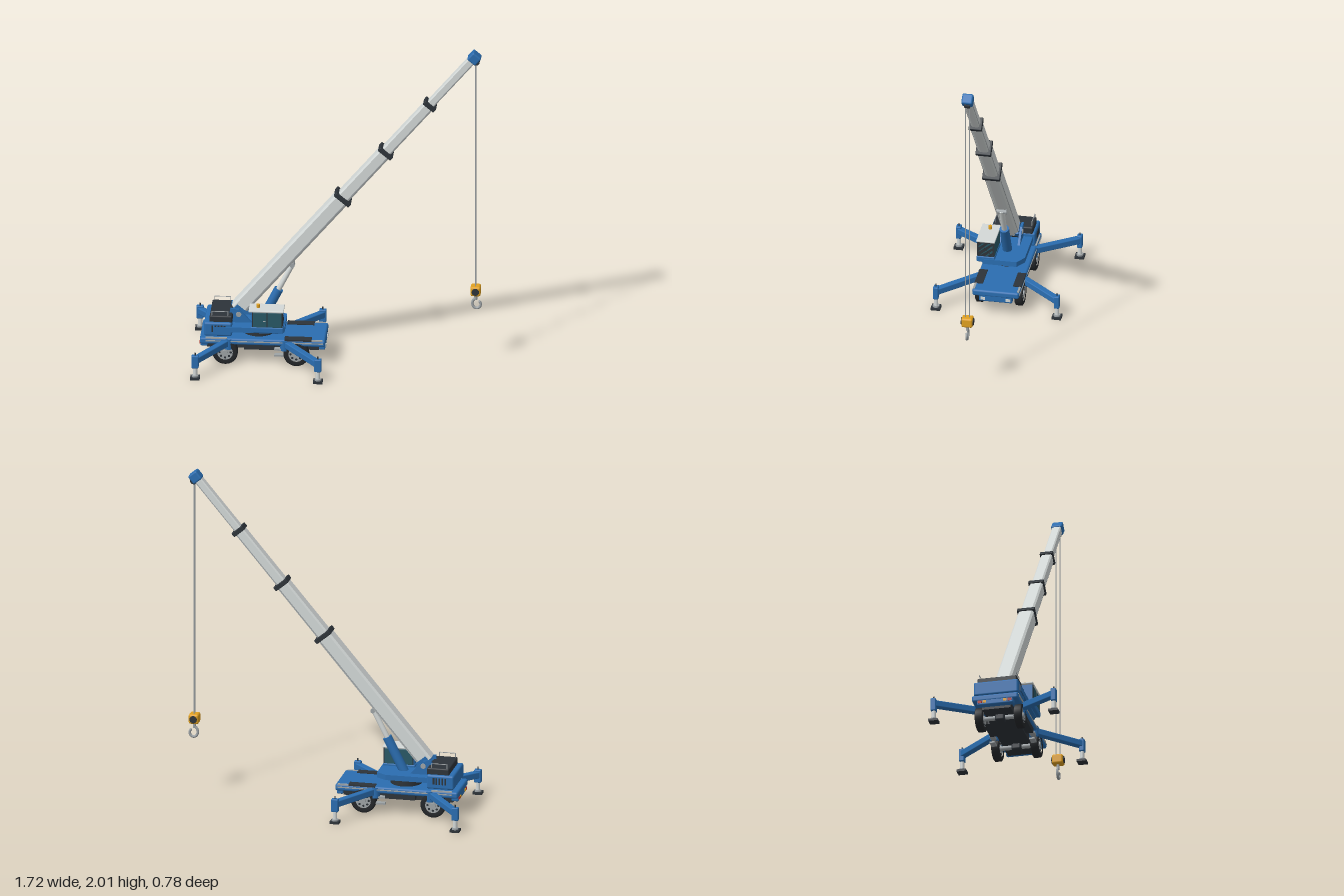
import * as THREE from 'three';
import { RoundedBoxGeometry } from 'three/addons/geometries/RoundedBoxGeometry.js';

const mat = (name, color, side = THREE.FrontSide) =>
  Object.assign(new THREE.MeshStandardMaterial({ color, side }), { name });

export function createModel() {
  const blue = mat('blue paint', 0x2a6db0), pale = mat('pale grey paint', 0xd3d8d7);
  const dark = mat('charcoal', 0x2d3339), rubber = mat('rubber', 0x24272a);
  const glass = mat('tinted glass', 0x285866), steel = mat('steel', 0x9da3a6);
  const amber = mat('amber', 0xe0a020), red = mat('red lamp', 0xb02a22);
  const crane = new THREE.Group();
  crane.name = 'mobileCrane';

  const add = (name, geo, m, x = 0, y = 0, z = 0, parent = crane) => {
    const mesh = new THREE.Mesh(geo, m);
    mesh.name = name;
    mesh.position.set(x, y, z);
    parent.add(mesh);
    return mesh;
  };
  // box given by its minimum and maximum corners
  const box = (name, m, x0, x1, y0, y1, z0, z1, r = 0, parent = crane) => {
    const s = [x1 - x0, y1 - y0, z1 - z0];
    const g = r ? new RoundedBoxGeometry(...s, 2, r) : new THREE.BoxGeometry(...s);
    return add(name, g, m, (x0 + x1) / 2, (y0 + y1) / 2, (z0 + z1) / 2, parent);
  };
  // round bar between two points
  const bar = (name, m, a, b, r, parent = crane, sides = 16) => {
    const p = new THREE.Vector3(...a), q = new THREE.Vector3(...b), d = q.clone().sub(p);
    const mesh = add(name, new THREE.CylinderGeometry(r, r, d.length(), sides), m, 0, 0, 0, parent);
    mesh.position.copy(p).add(q).multiplyScalar(0.5);
    mesh.quaternion.setFromUnitVectors(new THREE.Vector3(0, 1, 0), d.normalize());
    return mesh;
  };
  // outline in x and y, extruded evenly about z
  const plate = (pts, depth) => {
    const s = new THREE.Shape(pts.map(p => new THREE.Vector2(...p)));
    return new THREE.ExtrudeGeometry(s, { depth, bevelEnabled: false }).translate(0, 0, -depth / 2);
  };

  // Carrier
  box('chassisFrame', dark, -0.76, -0.1, 0.085, 0.135, -0.085, 0.085);
  box('carrierDeck', blue, -0.8, -0.06, 0.125, 0.165, -0.14, 0.14, 0.012);
  box('frontBumper', blue, -0.1, -0.062, 0.092, 0.14, -0.1, 0.1, 0.008);
  box('rearBumper', blue, -0.798, -0.755, 0.1, 0.14, -0.11, 0.11, 0.008);
  for (const s of [1, -1]) {
    box('sideRail', steel, -0.765, -0.07, 0.145, 0.152, s * 0.138 - 0.005, s * 0.138 + 0.005);
    box('deckTread', dark, -0.3, -0.14, 0.16, 0.17, s * 0.115 - 0.025, s * 0.115 + 0.025);
    box('rearEdgeTread', steel, -0.765, -0.64, 0.16, 0.168, s * 0.132 - 0.006, s * 0.132 + 0.006);
    box('frontEdgeTread', steel, -0.14, -0.075, 0.16, 0.168, s * 0.132 - 0.006, s * 0.132 + 0.006);
    box('sideLocker', dark, -0.54, -0.36, 0.095, 0.127, s * 0.105 - 0.025, s * 0.105 + 0.025);
    for (const y of [0.062, 0.1])
      box('step', steel, -0.36, -0.295, y - 0.005, y + 0.005, s * 0.12 - 0.016, s * 0.12 + 0.016);
    box('headlamp', pale, -0.064, -0.057, 0.105, 0.122, s * 0.075 - 0.014, s * 0.075 + 0.014);
    box('tailLamp', red, -0.803, -0.796, 0.112, 0.127, s * 0.09 - 0.012, s * 0.09 + 0.012);
    box('turnLamp', amber, -0.803, -0.796, 0.112, 0.127, s * 0.062 - 0.01, s * 0.062 + 0.01);
  }

  // Wheels and axles
  const tyre = new THREE.LatheGeometry([[0.046, -0.022], [0.066, -0.024], [0.075, -0.018],
    [0.075, 0.018], [0.066, 0.024], [0.046, 0.022]].map(p => new THREE.Vector2(...p)), 32);
  for (const x of [-0.65, -0.23]) {
    bar('axle', steel, [x, 0.075, -0.11], [x, 0.075, 0.11], 0.014);
    box('differential', dark, x - 0.03, x + 0.03, 0.05, 0.1, -0.03, 0.03, 0.012);
    for (const s of [1, -1]) {
      const wheel = new THREE.Group();
      wheel.name = 'wheel';
      wheel.position.set(x, 0.075, s * 0.118);
      wheel.rotation.x = s * Math.PI / 2;
      crane.add(wheel);
      add('tyre', tyre, rubber, 0, 0, 0, wheel);
      add('rim', new THREE.CylinderGeometry(0.047, 0.047, 0.036, 28), steel, 0, 0, 0, wheel);
      add('hub', new THREE.CylinderGeometry(0.016, 0.02, 0.05, 16), steel, 0, 0, 0, wheel);
      for (let i = 0; i < 8; i++) {
        const a = i * Math.PI / 4;
        add('rimHole', new THREE.CylinderGeometry(0.007, 0.007, 0.038, 10), dark,
          0.033 * Math.cos(a), 0, 0.033 * Math.sin(a), wheel);
      }
    }
  }

  // Outriggers: hip x, foot x, side
  for (const [hip, foot, s] of [[-0.63, -0.81, 1], [-0.3, -0.085, 1], [-0.63, -0.835, -1], [-0.3, -0.11, -1]]) {
    const z = s * 0.36, from = new THREE.Vector3(hip, 0.135, s * 0.11), to = new THREE.Vector3(foot, 0.118, z);
    const arm = box('outriggerArm', blue, -0.02, 0.02, -0.02, 0.02, 0, from.distanceTo(to), 0.006);
    arm.position.copy(from).lerp(to, 0.5);
    arm.lookAt(to);
    bar('armHinge', blue, [hip, 0.095, s * 0.12], [hip, 0.16, s * 0.12], 0.026);
    box('jackHousing', blue, foot - 0.021, foot + 0.021, 0.07, 0.15, z - 0.016, z + 0.016, 0.006);
    bar('jackCap', dark, [foot, 0.145, z], [foot, 0.165, z], 0.004);
    bar('jackRod', pale, [foot, 0.015, z], [foot, 0.08, z], 0.013);
    box('jackPad', dark, foot - 0.028, foot + 0.028, 0, 0.014, z - 0.028, z + 0.028);
    bar('padSocket', steel, [foot, 0.012, z], [foot, 0.024, z], 0.02);
  }

  // Slewing ring and upper platform
  bar('slewRing', dark, [-0.46, 0.16, 0], [-0.46, 0.208, 0], 0.095, crane, 40);
  const base = plate([[-0.72, -0.12], [-0.36, -0.12], [-0.3, -0.08], [-0.3, 0.12], [-0.34, 0.14], [-0.72, 0.14]], 0.032);
  add('slewPlatform', base.rotateX(Math.PI / 2), blue, 0, 0.222, 0);
  box('counterweight', blue, -0.775, -0.61, 0.175, 0.262, -0.135, 0.135, 0.012);
  box('engineHousing', dark, -0.743, -0.61, 0.255, 0.3, -0.12, 0.12, 0.008);
  for (let i = 0; i < 5; i++)
    for (const s of [1, -1])
      box('coolingSlat', dark, -0.73 + i * 0.018, -0.72 + i * 0.018, 0.205, 0.245, s * 0.136 - 0.002, s * 0.136 + 0.002);
  for (const z of [-0.11, 0.11]) {
    for (const x of [-0.73, -0.635]) bar('railPost', steel, [x, 0.295, z], [x, 0.325, z], 0.0025, crane, 8);
    bar('handRail', steel, [-0.73, 0.325, z], [-0.635, 0.325, z], 0.0025, crane, 8);
  }
  for (const s of [1, -1]) {
    add('boomBracket', plate([[-0.64, 0.23], [-0.49, 0.23], [-0.53, 0.275], [-0.575, 0.32], [-0.625, 0.325]], 0.014),
      blue, 0, 0, s * 0.057);
  }
  bar('boomPivot', steel, [-0.575, 0.29, -0.068], [-0.575, 0.29, 0.068], 0.016);
  bar('winchDrum', dark, [-0.61, 0.26, -0.05], [-0.61, 0.26, 0.05], 0.03);

  // Operator cab
  box('cabFloor', blue, -0.5, -0.305, 0.215, 0.252, 0.05, 0.16, 0.006);
  box('cabBody', glass, -0.49, -0.31, 0.245, 0.35, 0.053, 0.157, 0.01);
  box('cabRoof', pale, -0.51, -0.303, 0.347, 0.358, 0.05, 0.162, 0.004);
  for (const x of [-0.487, -0.4, -0.313])
    box('cabPillar', dark, x - 0.003, x + 0.003, 0.252, 0.348, 0.0535, 0.1585);
  box('cabBack', blue, -0.494, -0.488, 0.25, 0.348, 0.056, 0.154);
  box('doorHandle', steel, -0.425, -0.41, 0.288, 0.293, 0.156, 0.161);
  bar('wiper', dark, [-0.308, 0.265, 0.075], [-0.308, 0.325, 0.125], 0.002, crane, 8);
  bar('beacon', amber, [-0.457, 0.356, 0.105], [-0.457, 0.378, 0.105], 0.011);

  // Telescopic boom, built along its own x axis
  const boom = new THREE.Group();
  boom.name = 'boom';
  boom.position.set(-0.58, 0.304, 0);
  boom.rotation.z = Math.atan2(0.767, 0.642);
  crane.add(boom);
  const section = (name, m, x0, x1, w, h) => {
    const a = w / 2, b = h / 2, c = w * 0.12;
    const pts = [[-a, b - c], [-a, -b * 0.6], [-a * 0.75, -b * 0.88], [-a * 0.4, -b], [a * 0.4, -b],
      [a * 0.75, -b * 0.88], [a, -b * 0.6], [a, b - c], [a - c, b], [c - a, b]].reverse();
    const g = plate(pts.reverse(), x1 - x0).rotateY(Math.PI / 2);
    return add(name, g, m, (x0 + x1) / 2, 0, 0, boom);
  };
  // start, end, width, height of each section
  const parts = [[0, 0.96, 0.094, 0.096], [0.9, 1.355, 0.08, 0.08], [1.3, 1.76, 0.067, 0.065], [1.7, 2.16, 0.053, 0.05]];
  parts.forEach(([x0, x1, w, h], i) => {
    section('boomSection' + (i + 1), pale, x0, x1, w, h);
    for (const s of [1, -1])
      box('wearStrip', steel, x0 + 0.01, x1, -h * 0.34, -h * 0.28, s * w / 2 - 0.001, s * w / 2 + 0.001, 0, boom);
    if (i < 3) box('boomCollar', dark, x1 - 0.014, x1 + 0.014, -h / 2 - 0.008, h / 2 + 0.008, -w / 2 - 0.006, w / 2 + 0.006, 0.004, boom);
  });
  box('boomHead', blue, 2.138, 2.198, -0.033, 0.031, -0.033, 0.033, 0.01, boom);
  box('boomFoot', blue, -0.012, 0.03, -0.045, 0.03, -0.049, 0.049, 0, boom);

  // Lifting cylinder
  bar('liftBarrel', blue, [-0.45, 0.22, 0], [-0.343, 0.434, 0], 0.028, crane, 24);
  bar('liftRod', pale, [-0.345, 0.43, 0], [-0.258, 0.604, 0], 0.016, crane, 20);
  bar('liftPin', steel, [-0.262, 0.597, -0.03], [-0.262, 0.597, 0.03], 0.014);

  // Hoist ropes, hook block and hook
  bar('headSheave', dark, [0.822, 1.942, -0.016], [0.822, 1.942, 0.016], 0.022, crane, 24);
  for (const z of [-0.012, 0.012]) bar('hoistRope', steel, [0.82, 0.48, z], [0.82, 1.95, z], 0.003, crane, 8);
  box('hookBlock', amber, 0.79, 0.85, 0.436, 0.496, -0.034, 0.034, 0.012);
  bar('blockSheave', dark, [0.82, 0.466, -0.037], [0.82, 0.466, 0.037], 0.022, crane, 20);
  bar('hookShank', steel, [0.82, 0.405, 0], [0.82, 0.44, 0], 0.009);
  const curve = new THREE.CatmullRomCurve3([[0.82, 0.415], [0.806, 0.402], [0.8, 0.38], [0.808, 0.358],
    [0.826, 0.35], [0.844, 0.36], [0.849, 0.378], [0.843, 0.392]].map(([x, y]) => new THREE.Vector3(x, y, 0)));
  add('hook', new THREE.TubeGeometry(curve, 32, 0.008, 10), steel);
  add('hookTip', new THREE.SphereGeometry(0.008, 10, 8), steel, 0.843, 0.392, 0);
  return crane;
}
